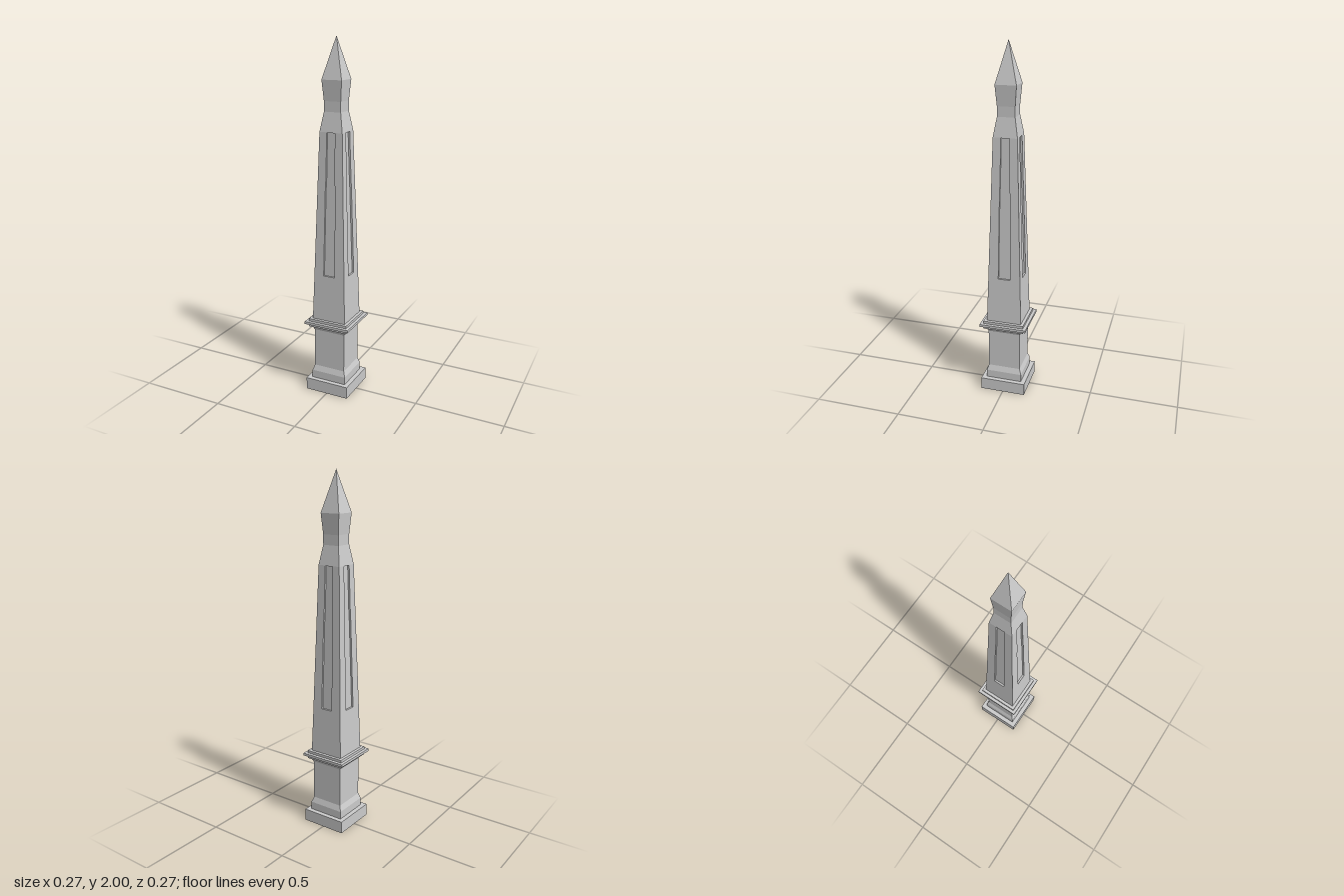
import * as THREE from 'three';

const material = new THREE.MeshStandardMaterial({
  color: 0xcccccc, flatShading: true, side: THREE.DoubleSide,
});

// Square tower section from [half width, height] pairs, listed bottom to top.
function squareTier(name, profile) {
  const points = profile.map(([w, y]) => new THREE.Vector2(w * Math.SQRT2, y));
  const geometry = new THREE.LatheGeometry(points, 4, Math.PI / 4).toNonIndexed();
  geometry.computeVertexNormals();
  const mesh = new THREE.Mesh(geometry, material);
  mesh.name = name;
  return mesh;
}

// Tapered shaft
const shaftBottom = { y: 0.445, w: 0.1 };
const shaftTop = { y: 1.51, w: 0.067 };
const panelTop = 1.508;
const depth = 0.01;
const halfWidthAt = (y) => THREE.MathUtils.mapLinear(
  y, shaftBottom.y, shaftTop.y, shaftBottom.w, shaftTop.w);

// Right edge of the recessed panel; the left edge mirrors it.
const edge = [[0.034, 0.71], [0.029, 1.2], [0.026, 1.26], [0.024, panelTop]];
const outline = [...edge, ...edge.map(([x, y]) => [-x, y]).reverse()]
  .map(([x, y]) => new THREE.Vector2(x, y));

// Lean a flat shape back onto the sloping shaft face.
function lean(geometry, inset) {
  const p = geometry.attributes.position;
  for (let i = 0; i < p.count; i++) p.setZ(i, halfWidthAt(p.getY(i)) - inset);
  geometry.computeVertexNormals();
  return geometry;
}

// Side walls of the recess, one quad per outline segment.
function recessWalls() {
  const positions = [];
  outline.forEach((a, i) => {
    const b = outline[(i + 1) % outline.length];
    const [a0, b0, a1, b1] = [[a, 0], [b, 0], [a, depth], [b, depth]]
      .map(([p, inset]) => [p.x, p.y, halfWidthAt(p.y) - inset]);
    positions.push(...a0, ...b0, ...b1, ...a0, ...b1, ...a1);
  });
  const geometry = new THREE.BufferGeometry();
  geometry.setAttribute('position', new THREE.Float32BufferAttribute(positions, 3));
  geometry.computeVertexNormals();
  return geometry;
}

function shaftSide() {
  const { y: y0, w: w0 } = shaftBottom;
  const { y: y1, w: w1 } = shaftTop;
  const face = new THREE.Shape([[-w0, y0], [w0, y0], [w1, y1], [-w1, y1]]
    .map(([x, y]) => new THREE.Vector2(x, y)));
  face.holes.push(new THREE.Path(outline));

  const side = new THREE.Group();
  side.name = 'shaftSide';
  const parts = {
    shaftFace: lean(new THREE.ShapeGeometry(face), 0),
    panelFloor: lean(new THREE.ShapeGeometry(new THREE.Shape(outline)), depth),
    panelWalls: recessWalls(),
  };
  for (const [name, geometry] of Object.entries(parts)) {
    const mesh = new THREE.Mesh(geometry, material);
    mesh.name = name;
    side.add(mesh);
  }
  return side;
}

export function createModel() {
  const model = new THREE.Group();
  model.name = 'obelisk';

  // Plinth, open underneath, with its stepped ledge
  model.add(squareTier('plinth', [[0.13, 0], [0.13, 0.07], [0.104, 0.07]]));

  // Pedestal with a sloping foot and flared neck
  model.add(squareTier('pedestal', [
    [0.104, 0.07], [0.104, 0.115], [0.093, 0.147], [0.093, 0.373], [0.103, 0.397],
  ]));

  // Stepped cornice
  model.add(squareTier('cornice', [
    [0.103, 0.397], [0.117, 0.397], [0.117, 0.415], [0.135, 0.415],
    [0.135, 0.43], [0.117, 0.43], [0.117, 0.445], [0.1, 0.445],
  ]));

  // Shaft with one recessed panel on each side
  const shaft = new THREE.Group();
  shaft.name = 'shaft';
  for (let i = 0; i < 4; i++) {
    const side = shaftSide();
    side.rotation.y = i * Math.PI / 2;
    shaft.add(side);
  }
  model.add(shaft);

  // Waisted neck and pointed tip
  model.add(squareTier('neck', [[0.067, 1.51], [0.049, 1.615], [0.049, 1.67], [0.058, 1.78]]));
  model.add(squareTier('tip', [[0.058, 1.78], [0, 2]]));

  return model;
}
